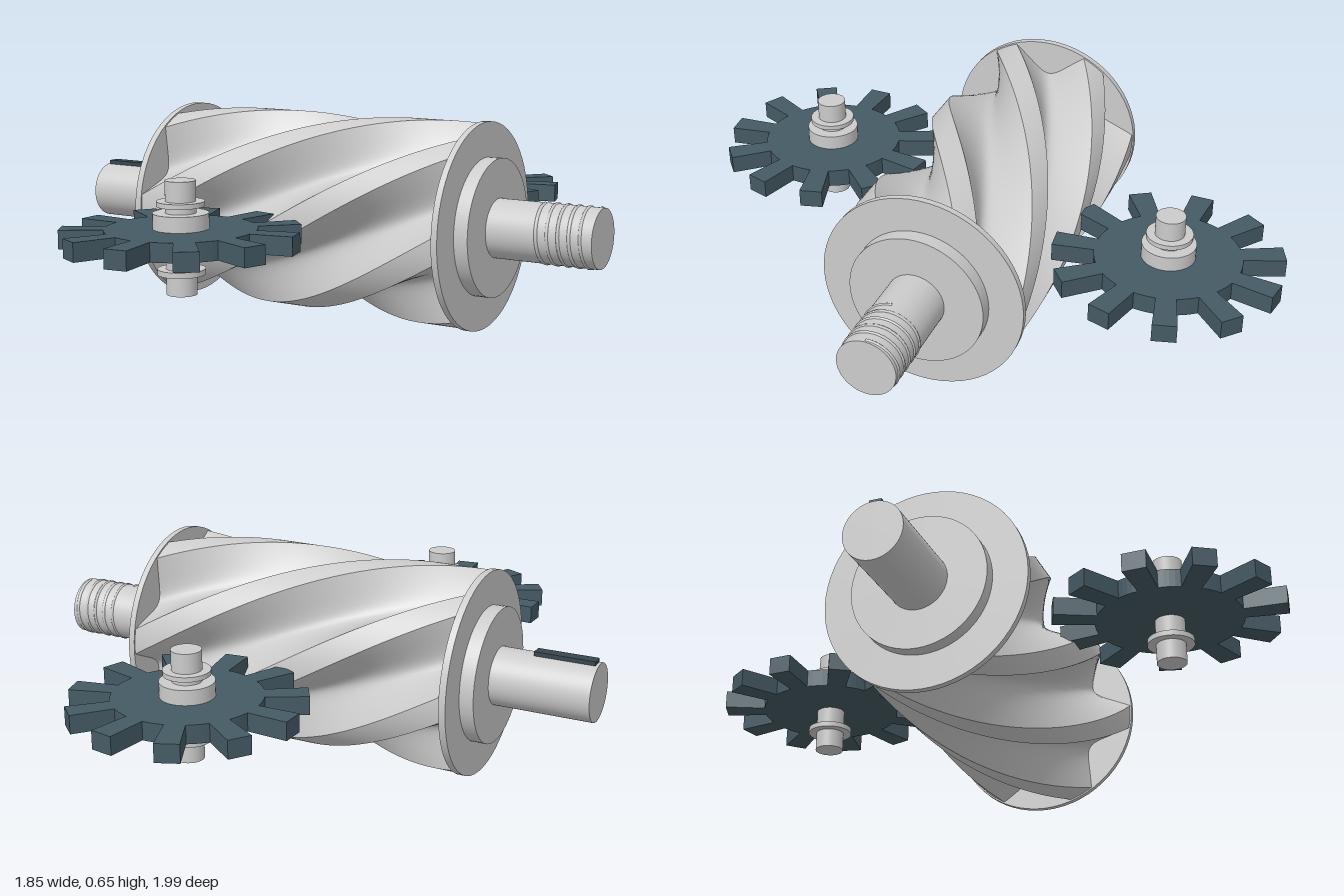
import * as THREE from 'three';
import { ParametricGeometry } from 'three/addons/geometries/ParametricGeometry.js';

const AXIS_Y = 0.325;
const grey = new THREE.MeshStandardMaterial({ color: 0xcccccc });
const slate = new THREE.MeshStandardMaterial({ color: 0x455a64 });
const darkSlate = new THREE.MeshStandardMaterial({ color: 0x37474f });

function add(parent, name, geometry, material = grey) {
  const mesh = new THREE.Mesh(geometry, material);
  mesh.name = name;
  parent.add(mesh);
  return mesh;
}

// Cylinder along x between two positions
function discX(parent, name, radius, x0, x1) {
  const g = new THREE.CylinderGeometry(radius, radius, x1 - x0, 64);
  g.rotateZ(-Math.PI / 2).translate((x0 + x1) / 2, 0, 0);
  return add(parent, name, g);
}

// Cylinder along y between two heights
function discY(parent, name, radius, y0, y1) {
  const g = new THREE.CylinderGeometry(radius, radius, y1 - y0, 40);
  return add(parent, name, g.translate(0, (y0 + y1) / 2, 0));
}

// Six helical lands with scooped grooves between them, sharp at the land edges
function createScrew() {
  const screw = new THREE.Group();
  screw.name = 'screwBody';
  const lobes = 6, radius = 0.32, depth = 0.11, x0 = -0.545, x1 = 0.52;
  const twist = 1.85, pitch = (Math.PI * 2) / lobes;
  const grooveHalf = THREE.MathUtils.degToRad(22.5), landHalf = pitch / 2 - grooveHalf;

  const strip = (centre, half, dip) => (u, v, target) => {
    const x = x0 + (x1 - x0) * u;
    const t = v * 2 - 1;
    const angle = centre + t * half + twist * x;
    const r = radius - dip * (1 - t * t);
    target.set(x, r * Math.sin(angle), r * Math.cos(angle));
  };
  for (let i = 0; i < lobes; i++) {
    const centre = Math.PI / 2 + i * pitch;
    add(screw, 'groove', new ParametricGeometry(strip(centre, grooveHalf, depth), 64, 18));
    add(screw, 'land', new ParametricGeometry(strip(centre + pitch / 2, landHalf, 0), 64, 5));
  }
  return screw;
}

class Helix extends THREE.Curve {
  getPoint(t, target = new THREE.Vector3()) {
    const a = t * 5 * Math.PI * 2;
    return target.set(0.737 + 0.175 * t, 0.0905 * Math.cos(a), 0.0905 * Math.sin(a));
  }
}

function createRotor() {
  const rotor = new THREE.Group();
  rotor.name = 'mainRotor';
  rotor.add(createScrew());
  discX(rotor, 'shaft', 0.0925, -0.93, 0.922);
  discX(rotor, 'rightFlange', 0.325, -0.567, -0.545);
  discX(rotor, 'leftFlange', 0.325, 0.518, 0.538);
  discX(rotor, 'rightHub', 0.216, -0.612, -0.567);
  discX(rotor, 'leftHub', 0.216, 0.538, 0.583);
  add(rotor, 'shaftThread', new THREE.TubeGeometry(new Helix(), 160, 0.006, 6));
  add(rotor, 'shaftKey', new THREE.BoxGeometry(0.193, 0.04, 0.038), darkSlate)
    .position.set(-0.824, 0.084, 0);
  rotor.position.y = AXIS_Y;
  return rotor;
}

// Flat toothed wheel outline: arcs at the root, slightly flared teeth
function wheelShape() {
  const teeth = 11, root = 0.228, tip = 0.358, rootHalf = 0.031, tipHalf = 0.037;
  const start = THREE.MathUtils.degToRad(178), step = (Math.PI * 2) / teeth;
  const rootAngle = Math.asin(rootHalf / root);
  const pts = [];
  for (let i = 0; i < teeth; i++) {
    const a = start + i * step, c = Math.cos(a), s = Math.sin(a);
    const put = (r, w) => pts.push(new THREE.Vector2(r * c - w * s, r * s + w * c));
    const base = root * Math.cos(rootAngle);
    put(base, -rootHalf);
    put(tip, -tipHalf);
    put(tip, tipHalf);
    put(base, rootHalf);
    for (let k = 1; k < 4; k++) {
      const b = a + rootAngle + ((step - 2 * rootAngle) * k) / 4;
      pts.push(new THREE.Vector2(root * Math.cos(b), root * Math.sin(b)));
    }
  }
  return new THREE.Shape(pts);
}

function createStarWheel(name, x, z) {
  const wheel = new THREE.Group();
  wheel.name = name;
  const plate = new THREE.ExtrudeGeometry(wheelShape(), { depth: 0.058, bevelEnabled: false });
  plate.rotateX(-Math.PI / 2).translate(0, 0.298, 0);
  add(wheel, 'toothedPlate', plate, slate);
  discY(wheel, 'wheelShaft', 0.046, 0.157, 0.5);
  discY(wheel, 'wheelHub', 0.084, 0.35, 0.403);
  discY(wheel, 'upperCollar', 0.072, 0.423, 0.438);
  discY(wheel, 'lowerCollar', 0.072, 0.218, 0.235);
  wheel.position.set(x, 0, z);
  return wheel;
}

export function createModel() {
  const model = new THREE.Group();
  model.name = 'singleScrewCompressor';
  model.add(createRotor());
  model.add(createStarWheel('frontStarWheel', -0.15, 0.635));
  model.add(createStarWheel('backStarWheel', 0.12, -0.64));
  return model;
}
